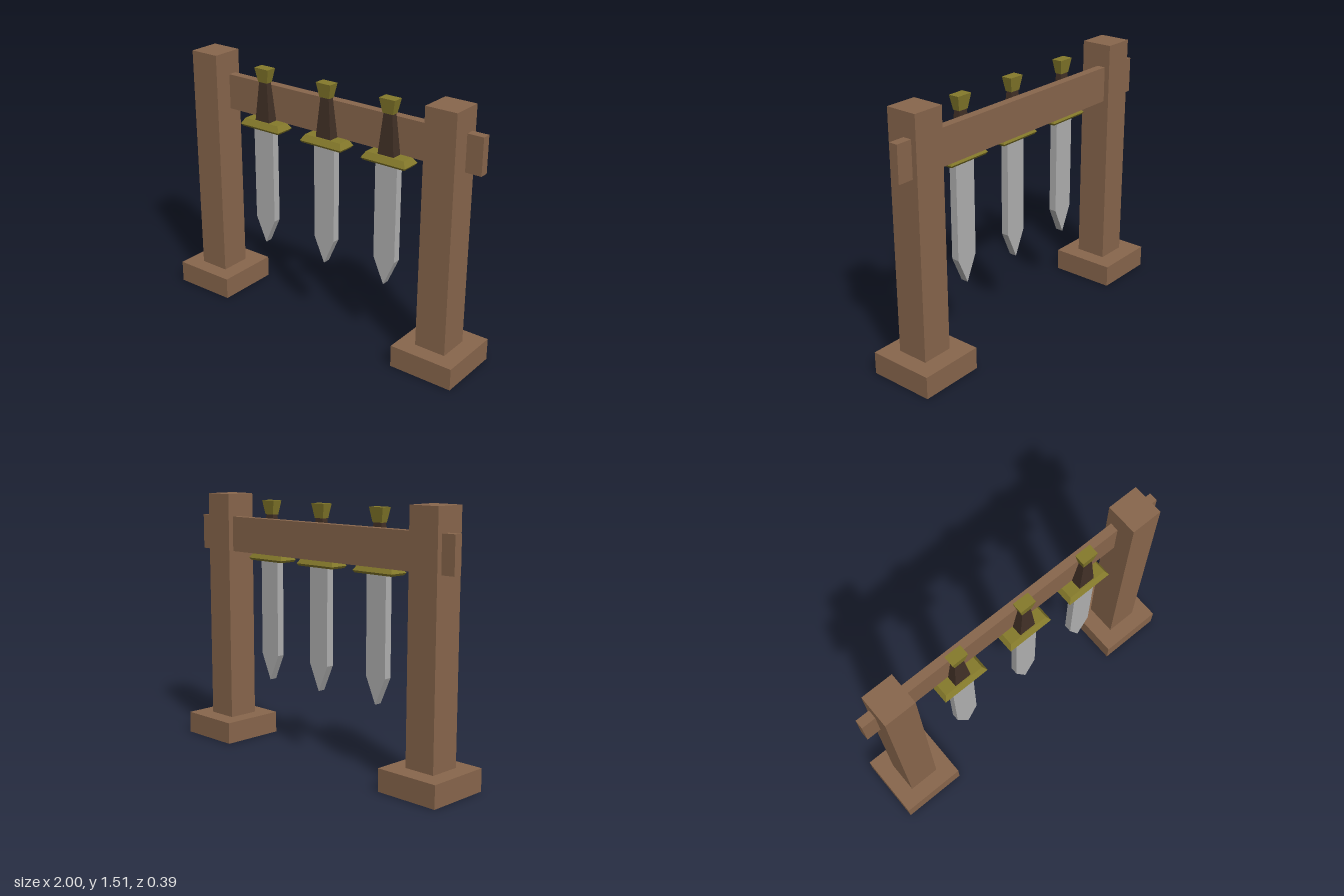
import * as THREE from 'three';

const material = (name, color) => {
  const m = new THREE.MeshStandardMaterial({ color });
  m.name = name;
  return m;
};

function add(parent, name, geometry, mat, x = 0, y = 0, z = 0) {
  const mesh = new THREE.Mesh(geometry, mat);
  mesh.name = name;
  mesh.position.set(x, y, z);
  parent.add(mesh);
  return mesh;
}

// Rectangular loft: sections run upward as [y, halfWidth, halfDepth]
function loft(sections) {
  const n = sections.length - 1;
  const box = new THREE.BoxGeometry(2, 1, 2, 1, n, 1);
  const p = box.attributes.position;
  for (let i = 0; i < p.count; i++) {
    const [y, hx, hz] = sections[Math.round((p.getY(i) + 0.5) * n)];
    p.setXYZ(i, p.getX(i) * hx, y, p.getZ(i) * hz);
  }
  const flat = box.toNonIndexed();
  flat.computeVertexNormals();
  return flat;
}

export function createModel() {
  const wood = material('wood', 0x88664c);
  const brass = material('brass', 0x857a2b);
  const leather = material('dark grip', 0x413026);
  const steel = material('steel', 0xb0b0b0);

  const model = new THREE.Group();
  model.name = 'swordRack';

  // Posts on square feet
  for (const side of [-1, 1]) {
    const post = new THREE.Group();
    post.name = side > 0 ? 'leftPost' : 'rightPost';
    add(post, 'foot', new THREE.BoxGeometry(0.385, 0.13, 0.39), wood, side * 0.8075, 0.065, 0);
    add(post, 'upright', new THREE.BoxGeometry(0.187, 1.385, 0.19), wood, side * 0.807, 0.8225, 0.007);
    model.add(post);
  }

  // Crossbeam passing through both posts
  add(model, 'crossbeam', new THREE.BoxGeometry(1.98, 0.21, 0.052), wood, 0.006, 1.275, -0.03);

  // Shared sword parts
  const outline = new THREE.Shape([
    new THREE.Vector2(-0.07, 1.13),
    new THREE.Vector2(-0.07, 0.555),
    new THREE.Vector2(0, 0.4),
    new THREE.Vector2(0.07, 0.555),
    new THREE.Vector2(0.07, 1.13),
  ]);
  const blade = new THREE.ExtrudeGeometry(outline, { depth: 0.046, bevelEnabled: false });
  blade.translate(0, 0, -0.023);
  const guard = loft([[1.125, 0.133, 0.051], [1.138, 0.142, 0.06], [1.172, 0.122, 0.039]]);
  const grip = loft([[1.17, 0.051, 0.032], [1.405, 0.028, 0.018]]);
  const pommel = loft([[1.402, 0.033, 0.021], [1.485, 0.05, 0.032]]);

  // Three swords hanging point down
  for (const x of [-0.406, 0.037, 0.455]) {
    const sword = new THREE.Group();
    sword.name = 'sword';
    sword.position.set(x, 0, 0.03);
    add(sword, 'blade', blade, steel);
    add(sword, 'guard', guard, brass);
    add(sword, 'grip', grip, leather);
    add(sword, 'pommel', pommel, brass);
    model.add(sword);
  }
  return model;
}
